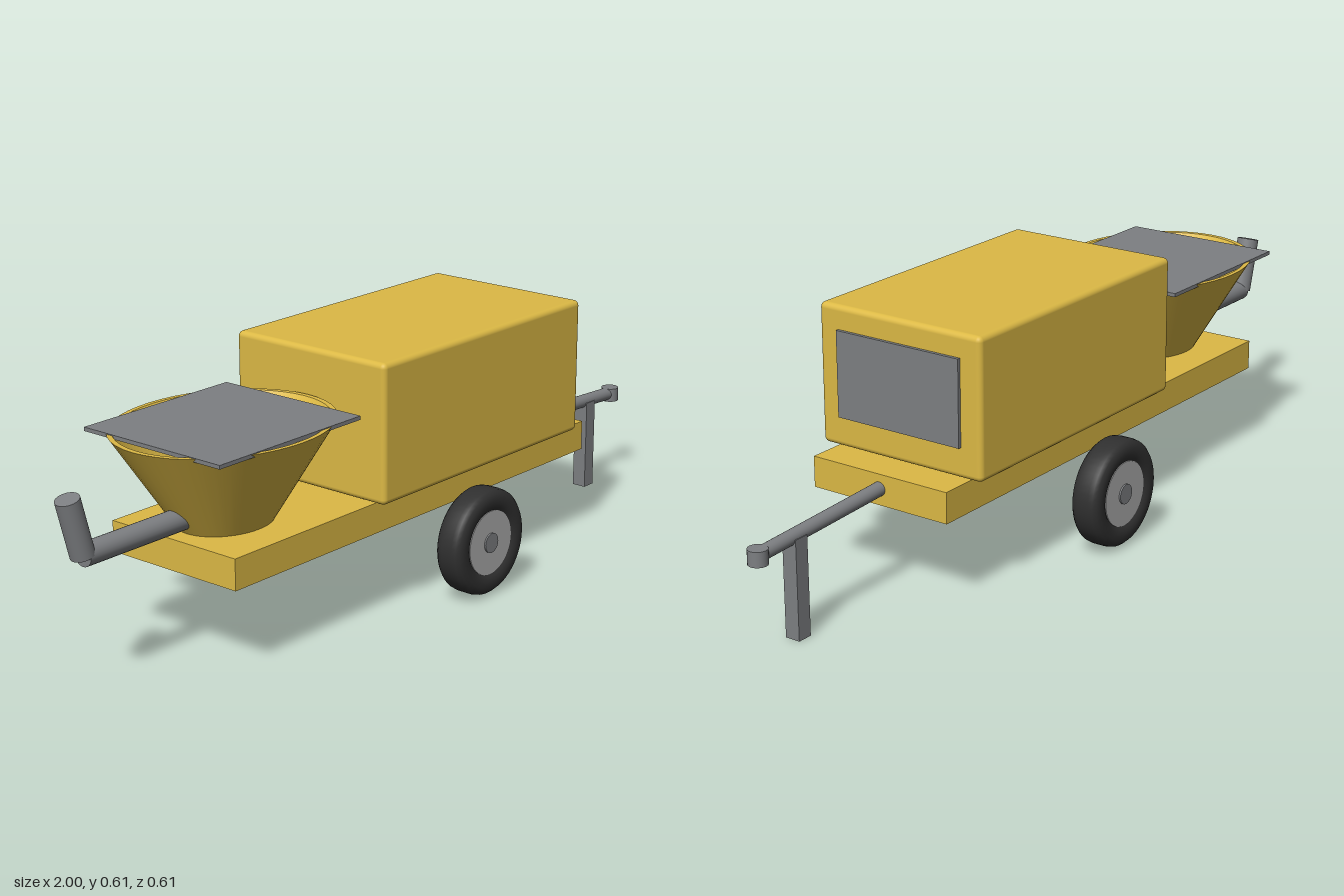
import * as THREE from 'three';
import { toCreasedNormals } from 'three/addons/utils/BufferGeometryUtils.js';
import { RoundedBoxGeometry } from 'three/addons/geometries/RoundedBoxGeometry.js';

function material(name, color) {
  const m = new THREE.MeshStandardMaterial({ color });
  m.name = name;
  return m;
}

export function createModel() {
  const yellow = material('yellow paint', 0xdcb945);
  const steel = material('grey steel', 0x7d7f82);
  const rubber = material('black rubber', 0x303030);
  const rimGrey = material('light rim grey', 0xacacac);

  const model = new THREE.Group();
  model.name = 'trailerPump';

  function add(name, geometry, mat, x = 0, y = 0, z = 0, parent = model) {
    const mesh = new THREE.Mesh(geometry, mat);
    mesh.name = name;
    mesh.position.set(x, y, z);
    parent.add(mesh);
    return mesh;
  }

  // Round bar between two points in the x-y plane
  function bar(name, x0, y0, x1, y1, radius) {
    const dir = new THREE.Vector3(x1 - x0, y1 - y0, 0);
    const mesh = add(name, new THREE.CylinderGeometry(radius, radius, dir.length(), 24), steel,
      (x0 + x1) / 2, (y0 + y1) / 2);
    mesh.quaternion.setFromUnitVectors(new THREE.Vector3(0, 1, 0), dir.normalize());
    return mesh;
  }

  function lathe(points, segments) {
    const profile = points.map(([r, y]) => new THREE.Vector2(r, y));
    return toCreasedNormals(new THREE.LatheGeometry(profile, segments), 0.6);
  }

  // Chassis, engine housing and end grille
  add('chassis', new THREE.BoxGeometry(1.26, 0.073, 0.37), yellow, -0.045, 0.2435);
  add('engineHousing', new RoundedBoxGeometry(0.74, 0.33, 0.444, 3, 0.013), yellow, 0.14, 0.448);
  add('grille', new THREE.BoxGeometry(0.012, 0.203, 0.336), steel, 0.512, 0.4565);

  // Oval open hopper with a flat grate across its mouth
  const hopper = add('hopper', lathe([
    [0, 0.279], [0.12, 0.279], [0.275, 0.504], [0.262, 0.504], [0.112, 0.292], [0, 0.292],
  ], 48), yellow, -0.51);
  hopper.scale.z = 0.83;
  add('hopperGrate', new THREE.BoxGeometry(0.445, 0.009, 0.404), steel, -0.51, 0.5015);

  // Delivery pipe with raised outlet
  bar('deliveryPipe', -0.935, 0.319, -0.56, 0.319, 0.026);
  bar('outletElbow', -0.935, 0.319, -0.971, 0.451, 0.0275);

  // Drawbar, coupling and prop leg
  bar('drawbar', 0.57, 0.246, 0.985, 0.227, 0.0165);
  add('coupling', new THREE.CylinderGeometry(0.0225, 0.0225, 0.035, 24), steel, 0.977, 0.226);
  add('propLeg', new THREE.BoxGeometry(0.037, 0.232, 0.037), steel, 0.863, 0.116);

  // Wheels
  const tyreGeometry = lathe([
    [0.074, -0.026], [0.084, -0.033], [0.094, -0.0365], [0.108, -0.0365], [0.119, -0.033],
    [0.126, -0.025], [0.128, -0.014], [0.128, 0.014], [0.126, 0.025], [0.119, 0.033],
    [0.108, 0.0365], [0.094, 0.0365], [0.084, 0.033], [0.074, 0.026], [0.074, -0.026],
  ], 48);
  const rimGeometry = new THREE.CylinderGeometry(0.078, 0.078, 0.062, 40);
  const capGeometry = new THREE.CylinderGeometry(0.024, 0.024, 0.07, 24);
  for (const side of [-1, 1]) {
    const wheel = new THREE.Group();
    wheel.name = side > 0 ? 'frontWheel' : 'backWheel';
    wheel.position.set(0.065, 0.132, side * 0.267);
    wheel.rotation.x = Math.PI / 2;
    add('tyre', tyreGeometry, rubber, 0, 0, 0, wheel);
    add('rim', rimGeometry, rimGrey, 0, 0, 0, wheel);
    add('hubCap', capGeometry, steel, 0, 0, 0, wheel);
    model.add(wheel);
  }

  return model;
}
